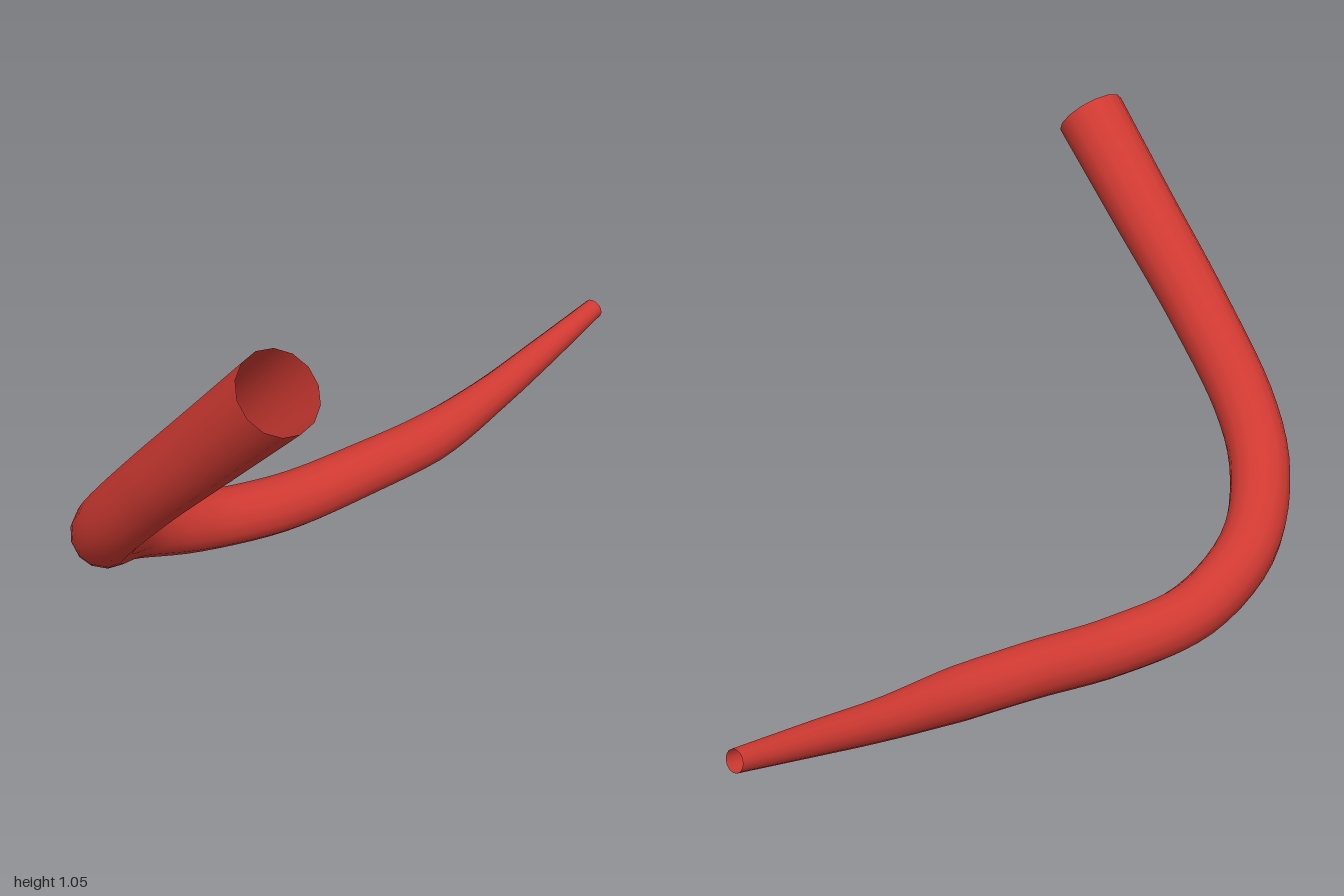
import * as THREE from 'three';

// Centreline of the horn, from the wide mouth to the narrow tip
const PATH = [
  [0.345, 0.995, 0.92], [0.16, 0.80, 0.845], [-0.03, 0.60, 0.77], [-0.20, 0.41, 0.685],
  [-0.285, 0.30, 0.59], [-0.345, 0.19, 0.40], [-0.305, 0.103, 0.20], [-0.20, 0.075, 0],
  [-0.10, 0.085, -0.2], [-0.015, 0.098, -0.4], [0.04, 0.125, -0.6], [0.09, 0.165, -0.8],
  [0.136, 0.205, -0.995],
];

// Radius along the length: [fraction, radius]
const RADII = [[0, 0.085], [0.2, 0.076], [0.44, 0.07], [0.6, 0.068], [0.77, 0.061], [0.85, 0.046], [0.92, 0.037], [1, 0.025]];

function radiusAt(u) {
  let i = 0;
  while (i < RADII.length - 2 && u > RADII[i + 1][0]) i++;
  const [u0, r0] = RADII[i], [u1, r1] = RADII[i + 1];
  return THREE.MathUtils.lerp(r0, r1, (u - u0) / (u1 - u0));
}

// Unit tube whose rings are scaled about the centreline to taper it
function taperedTube(curve, segments, sides) {
  const geometry = new THREE.TubeGeometry(curve, segments, 1, sides, false);
  const position = geometry.attributes.position;
  const v = new THREE.Vector3();
  for (let i = 0; i <= segments; i++) {
    const u = i / segments;
    const centre = curve.getPointAt(u);
    const r = radiusAt(u);
    for (let j = 0; j <= sides; j++) {
      const k = i * (sides + 1) + j;
      v.fromBufferAttribute(position, k).sub(centre).multiplyScalar(r).add(centre);
      position.setXYZ(k, v.x, v.y, v.z);
    }
  }
  return geometry;
}

export function createModel() {
  const group = new THREE.Group();
  group.name = 'curvedHorn';

  const red = new THREE.MeshStandardMaterial({ color: 0xd03a32, side: THREE.DoubleSide });
  red.name = 'red';

  // Open-ended curved horn
  const curve = new THREE.CatmullRomCurve3(PATH.map((p) => new THREE.Vector3(...p)));
  const horn = new THREE.Mesh(taperedTube(curve, 64, 14), red);
  horn.name = 'hornTube';
  group.add(horn);

  return group;
}
